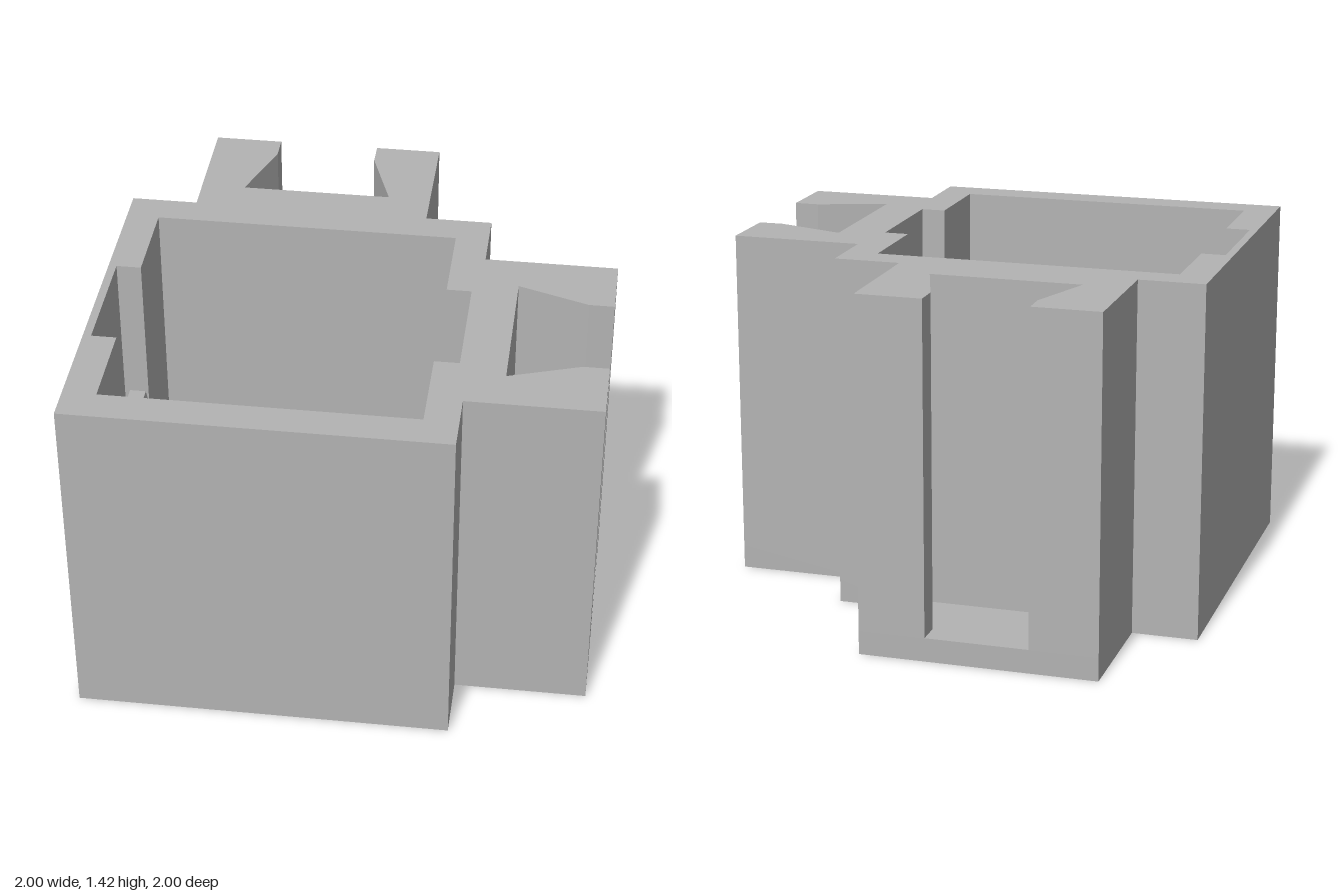
import * as THREE from 'three';

const HEIGHT = 1.42, FLOOR = 0.095;

// Path from [x, z] plan points
function trace(path, pts) {
  pts.forEach(([x, z], i) => (i ? path.lineTo(x, -z) : path.moveTo(x, -z)));
  path.closePath();
  return path;
}

// Extrude a plan outline upwards from y0 to y1
function prism(outline, hole, y0, y1) {
  const shape = trace(new THREE.Shape(), outline);
  shape.holes.push(trace(new THREE.Path(), hole));
  const geo = new THREE.ExtrudeGeometry(shape, { depth: y1 - y0, bevelEnabled: false });
  return geo.rotateX(-Math.PI / 2).translate(0, y0, 0);
}

export function createModel() {
  const group = new THREE.Group();
  group.name = 'slottedHousing';
  const grey = new THREE.MeshStandardMaterial({ color: 0xb3b3b3 });
  grey.name = 'plainGrey';

  const add = (name, geo) => {
    const mesh = new THREE.Mesh(geo, grey);
    mesh.name = name;
    group.add(mesh);
    return mesh;
  };

  // Dovetail slot in plan, for the side block; the back block mirrors it (x <-> -z)
  const slot = [[1, 0.465], [0.9, 0.465], [0.62, 0.56], [0.62, -0.04], [0.9, 0.055], [1, 0.055]];
  const swap = (pts) => pts.map(([x, z]) => [-z, -x]).reverse();

  const outline = (sideSlot, backSlot) => [
    [-1, 1], [0.475, 1], [0.475, 0.735], [1, 0.735],
    ...sideSlot,
    [1, -0.212], [0.475, -0.212], [0.475, -0.48], [0.21, -0.48], [0.21, -1],
    ...backSlot,
    [-0.737, -1], [-0.737, -0.48], [-1, -0.48],
  ];

  // Low base ring that closes the slots from below
  const room = [[-0.87, 0.865], [-0.87, -0.35], [0.343, -0.35], [0.343, 0.865]];
  add('baseRing', prism(outline([], []), room, 0, FLOOR));

  // Tall walls with dovetail slots and inner clip pockets
  const pocketedRoom = [
    [-0.87, 0.865], [-0.87, 0.5], [-0.968, 0.5], [-0.968, 0.02], [-0.87, 0.02], [-0.87, -0.35],
    [0.343, -0.35], [0.343, 0.02], [0.441, 0.02], [0.441, 0.5], [0.343, 0.5], [0.343, 0.865],
  ];
  add('walls', prism(outline(slot, swap(slot)), pocketedRoom, FLOOR, HEIGHT));

  // Spring clips standing in the pockets, each with a small catch near the top
  const profile = new THREE.Shape([
    [-0.065, FLOOR], [0, FLOOR], [0, 0.66], [0.025, 0.72], [0, 0.85], [-0.065, 0.85],
  ].map(([x, y]) => new THREE.Vector2(x, y)));
  const clip = new THREE.ExtrudeGeometry(profile, { depth: 0.374, bevelEnabled: false });
  clip.translate(0, 0, -0.187);
  add('rightClip', clip).position.set(-0.87, 0, 0.258);
  const leftClip = add('leftClip', clip);
  leftClip.position.set(0.343, 0, 0.258);
  leftClip.rotation.y = Math.PI;

  return group;
}
